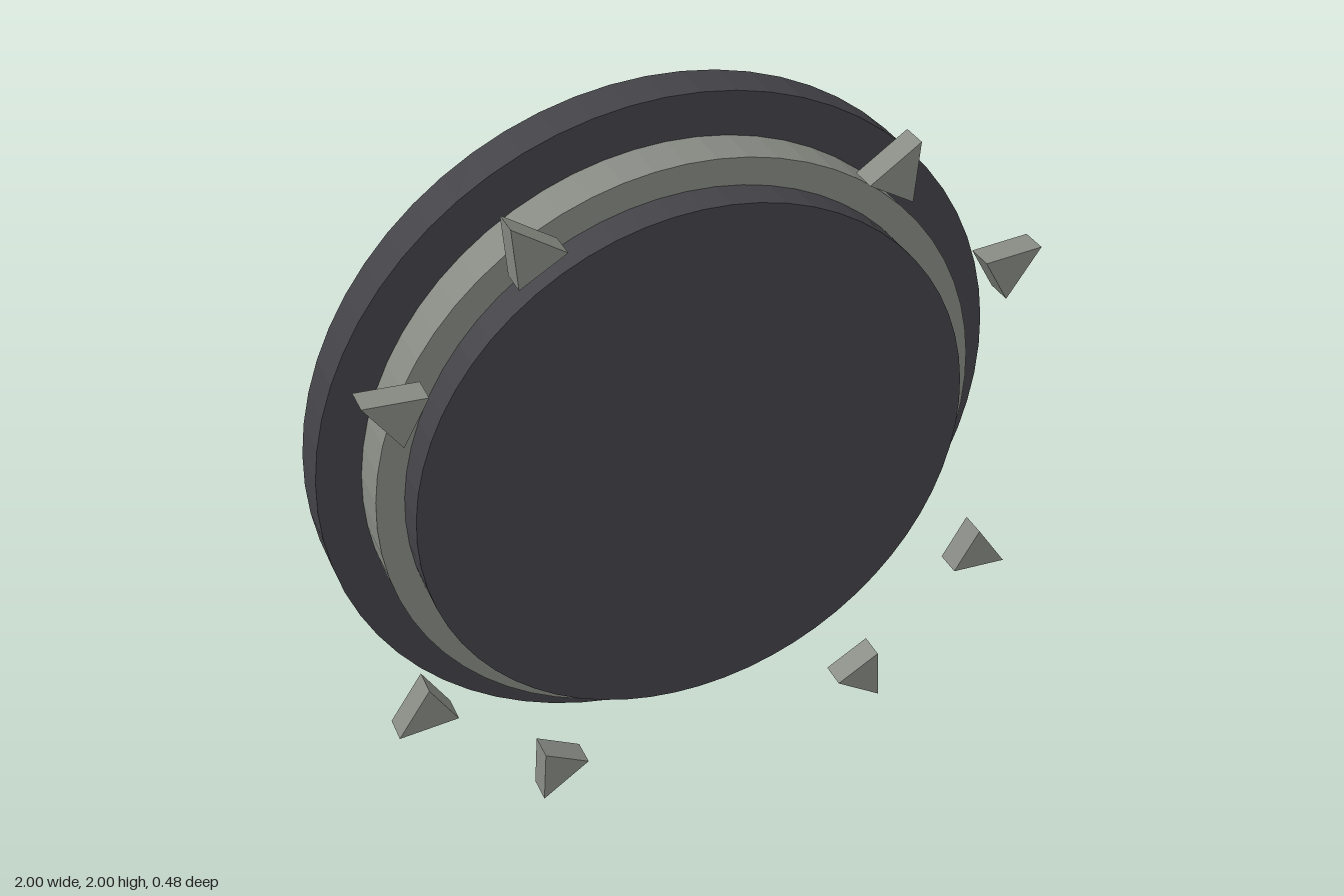
import * as THREE from 'three';

const SIDES = 64;

export function createModel() {
  const model = new THREE.Group();
  model.name = 'spikedDisc';

  const charcoal = new THREE.MeshStandardMaterial({ color: 0x434247, flatShading: true });
  charcoal.name = 'charcoal';
  const stone = new THREE.MeshStandardMaterial({ color: 0x878a83, flatShading: true });
  stone.name = 'stone grey';

  // Upright disc between two depths, centred at y = 1
  function disc(name, radius, back, front, material) {
    const geometry = new THREE.CylinderGeometry(radius, radius, front - back, SIDES);
    geometry.rotateX(Math.PI / 2);
    const mesh = new THREE.Mesh(geometry, material);
    mesh.name = name;
    mesh.position.set(0, 1, (back + front) / 2);
    model.add(mesh);
  }

  // Three stacked discs, stepping inward toward the front
  disc('backPlate', 1, -0.24, -0.11, charcoal);
  disc('middleRing', 0.877, -0.11, 0.02, stone);
  disc('frontFace', 0.8, 0.02, 0.12, charcoal);

  // Triangular prism pointing outward along +x
  const outline = new THREE.Shape([
    new THREE.Vector2(0.925, -0.073),
    new THREE.Vector2(1.075, 0),
    new THREE.Vector2(0.925, 0.073),
  ]);
  const spikeGeometry = new THREE.ExtrudeGeometry(outline, { depth: 0.075, bevelEnabled: false });

  // Eight floating spikes, skipping the four main axes
  const spikes = new THREE.Group();
  spikes.name = 'spikes';
  spikes.position.set(0, 1, 0.165);
  for (let i = 0; i < 12; i++) {
    if (i % 3 === 0) continue;
    const spike = new THREE.Mesh(spikeGeometry, stone);
    spike.name = 'spike';
    spike.rotation.z = (i * Math.PI) / 6;
    spikes.add(spike);
  }
  model.add(spikes);

  return model;
}
